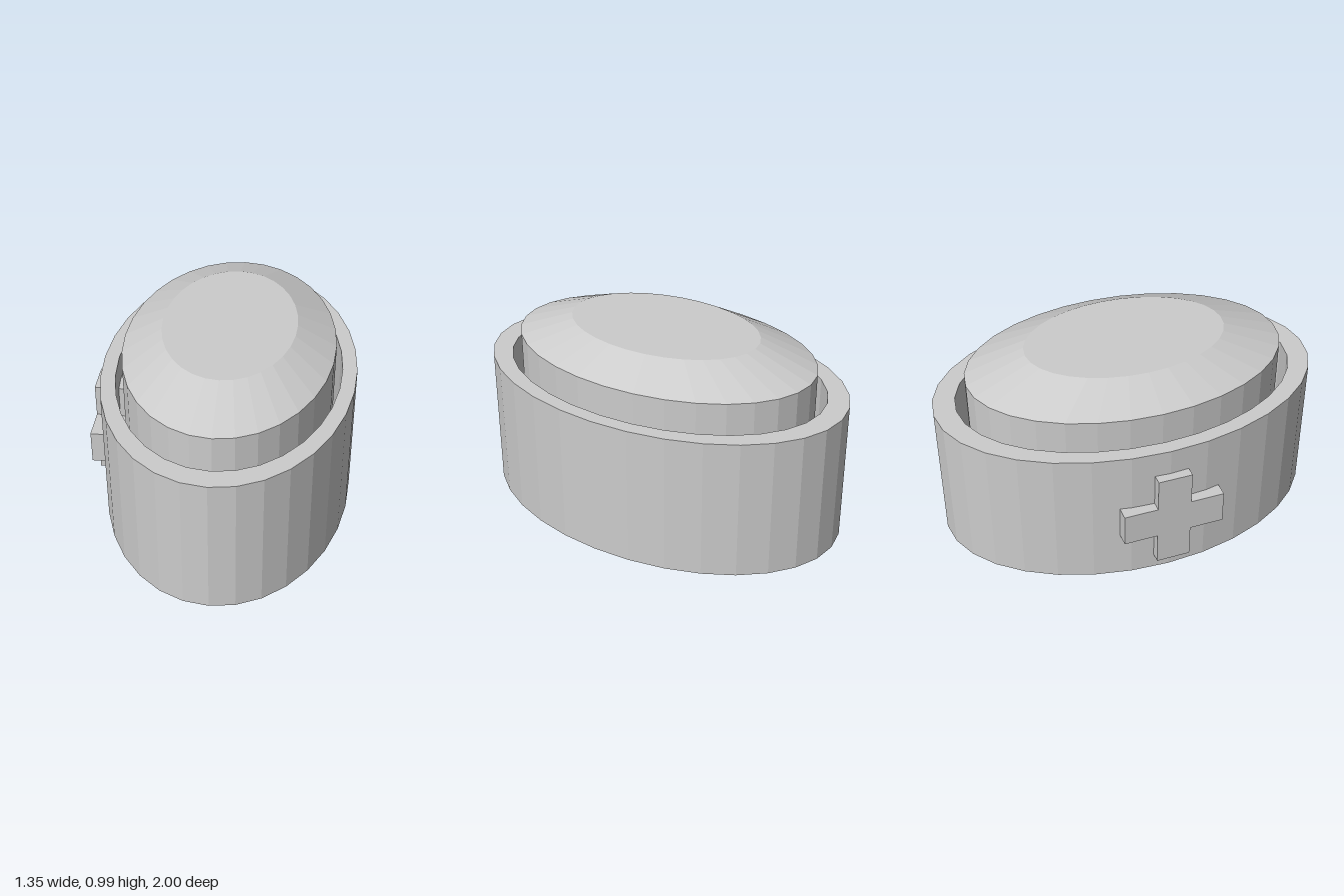
import * as THREE from 'three';

const CENTRE_X = 0.022;
const Z_STRETCH = 1 / 0.652; // oval footprint: 0.652 wide by 1.0 deep radii

const material = new THREE.MeshStandardMaterial({ color: 0xcccccc, flatShading: true });

// Oval solid turned from a [radius, height] profile, then stretched along z
function ovalPart(name, profile) {
  const points = profile.map(([r, y]) => new THREE.Vector2(r, y));
  const geometry = new THREE.LatheGeometry(points, 32);
  geometry.scale(1, 1, Z_STRETCH);
  geometry.translate(CENTRE_X, 0, 0);
  const mesh = new THREE.Mesh(geometry, material);
  mesh.name = name;
  return mesh;
}

// Raised plus sign set through the right wall
function crossEmblem() {
  const a = 0.087, b = 0.26; // half arm width, half arm length
  const outline = [
    [a, b], [-a, b], [-a, a], [-b, a], [-b, -a], [-a, -a],
    [-a, -b], [a, -b], [a, -a], [b, -a], [b, a], [a, a],
  ];
  const shape = new THREE.Shape(outline.map(([x, y]) => new THREE.Vector2(x, y)));
  const geometry = new THREE.ExtrudeGeometry(shape, { depth: 0.175, bevelEnabled: false });
  geometry.rotateY(-Math.PI / 2);
  geometry.translate(-0.5, 0.343, 0.008);
  const mesh = new THREE.Mesh(geometry, material);
  mesh.name = 'crossEmblem';
  return mesh;
}

export function createModel() {
  const group = new THREE.Group();
  group.name = 'ovalBox';
  group.add(
    // Thick open wall, slightly narrower inside the bottom rim
    ovalPart('outerWall', [
      [0.566, 0], [0.652, 0], [0.652, 0.739], [0.577, 0.739],
      [0.577, 0.16], [0.566, 0.16], [0.566, 0],
    ]),
    // Floor recessed above the bottom rim
    ovalPart('floorPlate', [[0, 0.132], [0.57, 0.132], [0.57, 0.16], [0, 0.16]]),
    // Inner core with a sloped, flat-topped crown
    ovalPart('innerCore', [[0, 0.15], [0.539, 0.15], [0.539, 0.878], [0.34, 0.988], [0, 0.988]]),
    crossEmblem(),
  );
  return group;
}
